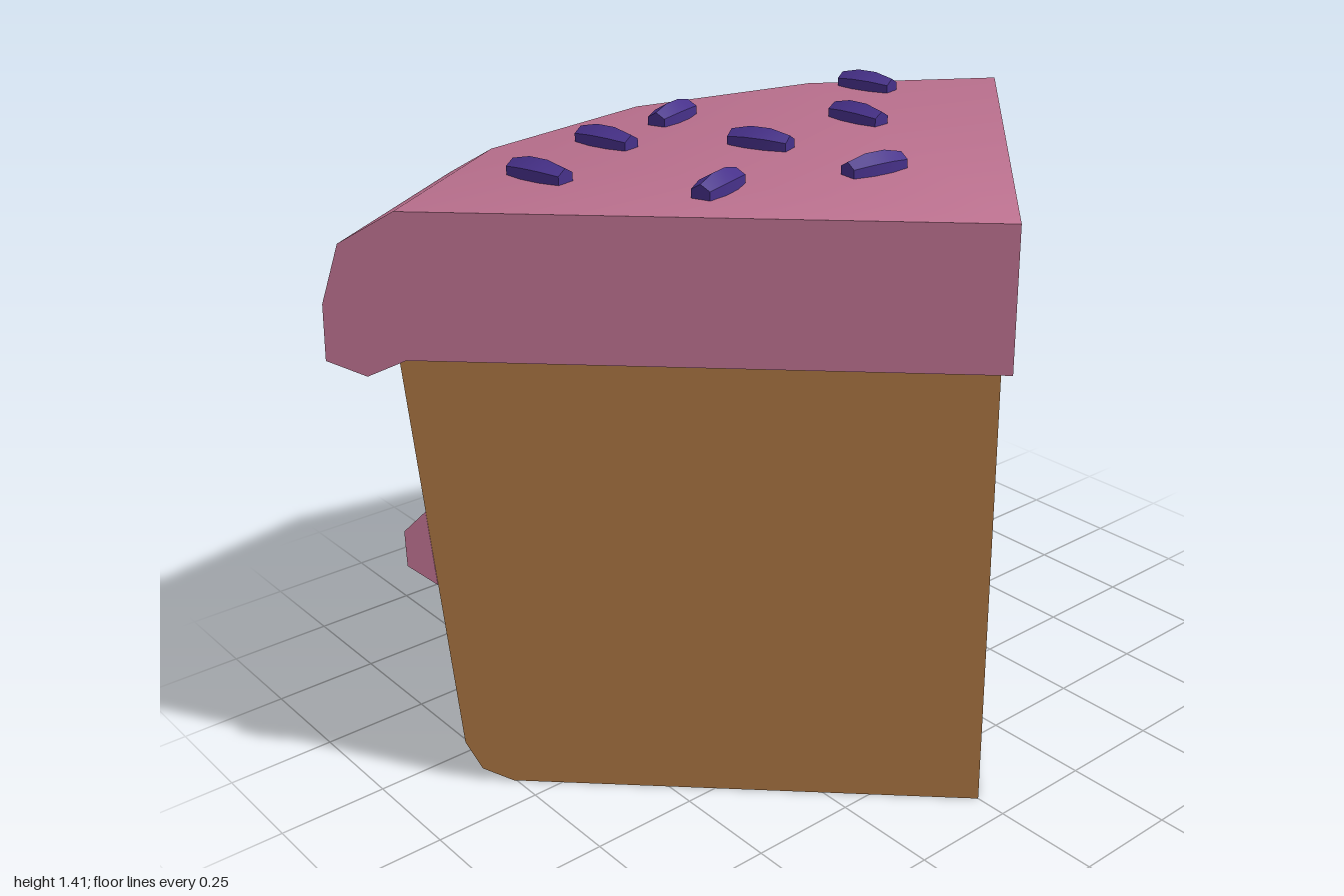
import * as THREE from 'three';
import { toCreasedNormals } from 'three/addons/utils/BufferGeometryUtils.js';

const SEGMENTS = 4; // facets around the quarter-circle rim

// Sweeps a closed profile of [reach, y, sag weight] through 90 degrees about a
// vertical axis at z = apex, and closes both cut faces.
function wedge(profile, apex, sag) {
  const pos = [];
  const point = (i, j) => {
    const a = (i / SEGMENTS - 0.5) * Math.PI / 2;
    const [s, y, w = 0] = profile[j];
    const r = s * Math.SQRT2;
    return [r * Math.sin(a), y - w * sag[i], apex - r * Math.cos(a)];
  };
  const tri = (a, b, c) => pos.push(...a, ...b, ...c);
  const n = profile.length;
  for (let i = 0; i < SEGMENTS; i++) {
    for (let j = 0; j < n; j++) {
      const k = (j + 1) % n;
      const atAxis = profile[j][0] === 0, nextAtAxis = profile[k][0] === 0;
      if (atAxis && nextAtAxis) continue;
      if (!nextAtAxis) tri(point(i, j), point(i, k), point(i + 1, k));
      if (!atAxis) tri(point(i, j), point(i + 1, k), point(i + 1, j));
    }
  }
  // cut faces
  const outline = profile.map(([s, y]) => new THREE.Vector2(s, y));
  for (const [a, b, c] of THREE.ShapeUtils.triangulateShape(outline, [])) {
    tri(point(0, a), point(0, c), point(0, b));
    tri(point(SEGMENTS, a), point(SEGMENTS, b), point(SEGMENTS, c));
  }
  const geo = new THREE.BufferGeometry();
  geo.setAttribute('position', new THREE.Float32BufferAttribute(pos, 3));
  return toCreasedNormals(geo, 1.15);
}

export function createModel() {
  const group = new THREE.Group();
  const material = (name, color) => {
    const m = new THREE.MeshStandardMaterial({ color });
    m.name = name;
    return m;
  };
  const sponge = material('sponge brown', 0xae7844);
  const icing = material('icing pink', 0xc27594);
  const candy = material('sprinkle purple', 0x47318a);
  const add = (name, geo, mat) => {
    const mesh = new THREE.Mesh(geo, mat);
    mesh.name = name;
    group.add(mesh);
    return mesh;
  };

  // Sponge: slightly flared, rounded at the bottom of the rim
  const level = [0, 0, 0, 0, 0];
  add('sponge', wedge([
    [0, 0], [0.755, 0], [0.805, 0.03], [0.83, 0.1], [0.88, 1.06], [0, 1.06],
  ], 0.675, level), sponge);

  // Filling: thin wavy band bulging out of the rim
  add('filling', wedge([
    [0.852, 0.51, 1], [0.897, 0.555, 1], [0.897, 0.64, 1], [0.861, 0.69, 1],
  ], 0.675, [0, 0.04, 0, 0.04, 0]), icing);

  // Frosting: rounded cap whose lip hangs lower at the back
  add('frosting', wedge([
    [0, 1.05], [0.88, 1.05, 1], [0.94, 1.012, 1], [1, 1.045, 1],
    [0.996, 1.17], [0.965, 1.3], [0.88, 1.37], [0, 1.37],
  ], 0.707, [0, 0.08, 0.115, 0.08, 0]), icing);

  // Sprinkles: [x, z, heading] of small six-sided barrels lying on the frosting
  const barrel = toCreasedNormals(new THREE.LatheGeometry([
    [0, -0.073], [0.026, -0.073], [0.037, -0.025],
    [0.037, 0.025], [0.026, 0.073], [0, 0.073],
  ].map(([r, y]) => new THREE.Vector2(r, y)), 6), 0.5);
  barrel.rotateX(Math.PI / 2);
  const sprinkles = [
    [-0.525, -0.18, 0.25], [-0.26, -0.305, 0.25], [-0.01, -0.383, 1.93], [0.555, -0.31, 0.25],
    [-0.008, -0.065, 0.4], [0.315, -0.09, 0.1], [-0.3, 0.142, 1.93], [0.042, 0.25, 1.48],
  ];
  for (const [x, z, heading] of sprinkles) {
    const s = add('sprinkle', barrel, candy);
    s.position.set(x, 1.376, z);
    s.rotation.y = heading;
  }
  return group;
}
